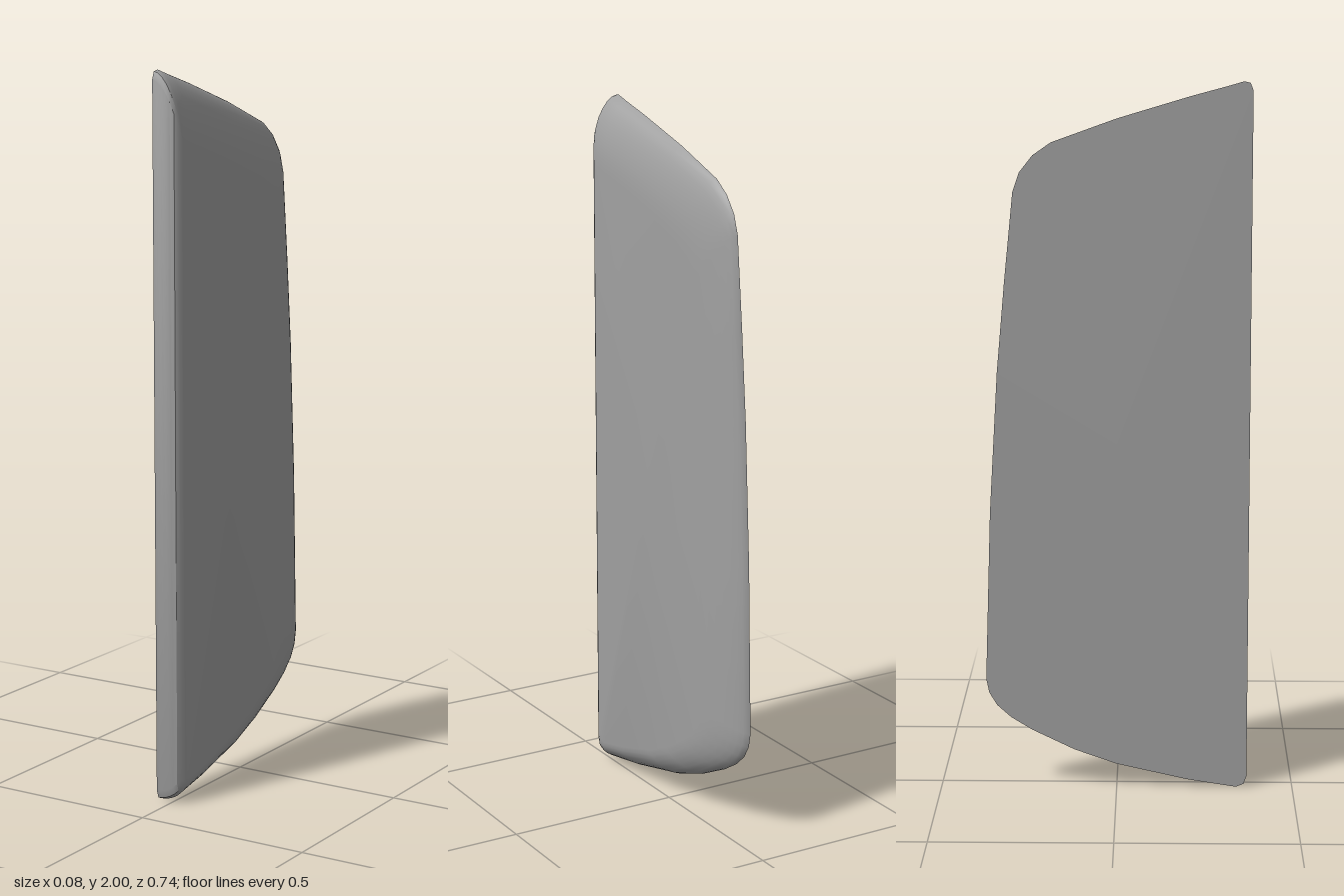
import * as THREE from 'three';
import { toCreasedNormals } from 'three/addons/utils/BufferGeometryUtils.js';

// Panel outline as [z, y], running from the front bottom corner round the back to the front top
const OUTLINE = [
  [0.37, 0.035], [0.362, 0.012], [0.34, 0.003], [0.2, 0.025], [0, 0.07], [-0.12, 0.112], [-0.24, 0.17],
  [-0.3, 0.207], [-0.34, 0.243], [-0.362, 0.28], [-0.37, 0.32], [-0.355, 0.8], [-0.332, 1.2], [-0.31, 1.45],
  [-0.285, 1.7], [-0.267, 1.753], [-0.23, 1.8], [-0.18, 1.835], [0, 1.9], [0.2, 1.96], [0.3, 1.987],
  [0.345, 2], [0.362, 1.996], [0.37, 1.975],
];
const BACK_X = -0.04;
const STEPS = 8;

// Outer face is a plane that thins toward the trailing edge
const faceX = (z) => 0.04 - (0.335 - z) * 0.054;

// One rounded rim cross-section: t = 0 is the flat side, t = 1 the outer face
function ring(t) {
  const a = t * Math.PI / 2;
  const inset = 1 - Math.cos(a);
  const height = Math.pow(Math.sin(a), 1.2);
  const frontInset = 0.035 * Math.max(0, (inset - 0.4) / 0.6);
  return OUTLINE.map(([z, y]) => {
    const u = (0.37 - z) / 0.74;
    const v = y / 2;
    const z2 = z - frontInset * (1 - u) + 0.18 * inset * u;
    const y2 = y + 0.07 * inset * (1 - v) - 0.2 * inset * v;
    return [BACK_X + height * (faceX(z2) - BACK_X), y2, z2];
  });
}

function panelGeometry() {
  const positions = [];
  const tri = (a, b, c) => positions.push(...a, ...b, ...c);
  const rings = Array.from({ length: STEPS + 1 }, (_, j) => ring(j / STEPS));
  const n = OUTLINE.length;
  const inner = rings[STEPS];
  const centre = [faceX(0.07), 0.95, 0.07];
  const backCentre = [BACK_X, 1, 0];
  for (let i = 0; i < n; i++) {
    const k = (i + 1) % n;
    // rounded rim
    for (let j = 0; j < STEPS; j++) {
      tri(rings[j][i], rings[j][k], rings[j + 1][k]);
      tri(rings[j][i], rings[j + 1][k], rings[j + 1][i]);
    }
    // outer face and flat side
    tri(centre, inner[i], inner[k]);
    tri(backCentre, rings[0][k], rings[0][i]);
  }
  const geometry = new THREE.BufferGeometry();
  geometry.setAttribute('position', new THREE.Float32BufferAttribute(positions, 3));
  return toCreasedNormals(geometry, 0.6);
}

export function createModel() {
  const grey = new THREE.MeshStandardMaterial({ color: 0xa0a0a0 });
  grey.name = 'grey';
  const panel = new THREE.Mesh(panelGeometry(), grey);
  panel.name = 'taperedPanel';
  const group = new THREE.Group();
  group.name = 'panel';
  group.add(panel);
  return group;
}
